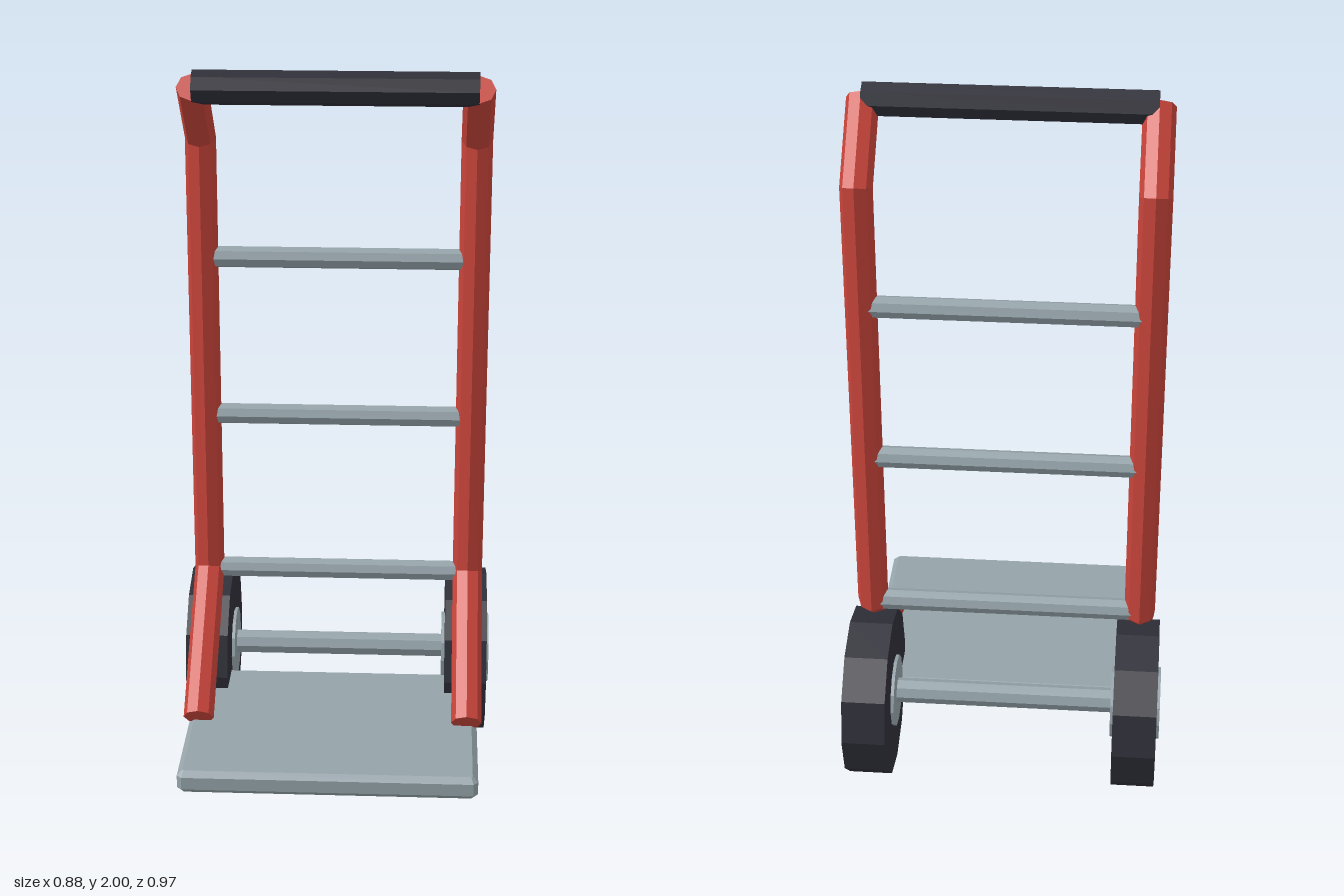
import * as THREE from 'three';

const paint = (name, color) => {
  const m = new THREE.MeshStandardMaterial({ color });
  m.name = name;
  m.flatShading = true;
  return m;
};

// Cylinder lying along x
function bar(name, radius, length, sides, material, x, y, z) {
  const geometry = new THREE.CylinderGeometry(radius, radius, length, sides);
  geometry.rotateZ(Math.PI / 2);
  const mesh = new THREE.Mesh(geometry, material);
  mesh.name = name;
  mesh.position.set(x, y, z);
  return mesh;
}

// Capped tube with mitred bends along a path of [y, z] points
function mitredTube(path, radius, sides) {
  const points = path.map(([y, z]) => new THREE.Vector2(y, z));
  const rings = points.map((p, i) => {
    const before = i > 0 ? p.clone().sub(points[i - 1]).normalize() : null;
    const after = i < points.length - 1 ? points[i + 1].clone().sub(p).normalize() : null;
    const a = before || after, b = after || before;
    const t = a.clone().add(b).normalize();
    const stretch = radius / t.dot(a);
    return Array.from({ length: sides }, (_, k) => {
      const angle = (k / sides) * Math.PI * 2;
      const s = Math.sin(angle) * stretch;
      return [Math.cos(angle) * radius, p.x - t.y * s, p.y + t.x * s];
    });
  });
  const positions = [];
  const tri = (a, b, c) => positions.push(...a, ...b, ...c);
  const last = rings.length - 1;
  for (let k = 0; k < sides; k++) {
    const n = (k + 1) % sides;
    for (let i = 0; i < last; i++) {
      const [p, q] = [rings[i], rings[i + 1]];
      tri(p[k], q[k], q[n]);
      tri(p[k], q[n], p[n]);
    }
    const start = [0, ...path[0]], end = [0, ...path[last]];
    tri(start, rings[0][k], rings[0][n]);
    tri(end, rings[last][n], rings[last][k]);
  }
  const geometry = new THREE.BufferGeometry();
  geometry.setAttribute('position', new THREE.Float32BufferAttribute(positions, 3));
  geometry.computeVertexNormals();
  return geometry;
}

// Flat slab with chamfered edges
function chamferedPlate(width, height, depth, c) {
  const w = width / 2 - c, d = depth / 2 - c, k = 0.004;
  const shape = new THREE.Shape([
    [-w + k, -d], [w - k, -d], [w, -d + k], [w, d - k],
    [w - k, d], [-w + k, d], [-w, d - k], [-w, -d + k],
  ].map(([x, y]) => new THREE.Vector2(x, y)));
  const geometry = new THREE.ExtrudeGeometry(shape, {
    depth: height - 2 * c, bevelEnabled: true, bevelSize: c, bevelThickness: c, bevelSegments: 1,
  });
  geometry.rotateX(-Math.PI / 2);
  geometry.center();
  return geometry;
}

export function createModel() {
  const red = paint('red frame paint', 0xc8443a);
  const steel = paint('grey steel', 0x94a3a9);
  const rubber = paint('dark rubber', 0x2e2e38);
  const model = new THREE.Group();
  model.name = 'handTruck';

  // Load plate
  const plate = new THREE.Mesh(chamferedPlate(0.81, 0.065, 0.63, 0.015), steel);
  plate.name = 'loadPlate';
  plate.position.set(0, 0.167, 0.165);
  model.add(plate);

  // Bent side rails, wheels and hubs
  const rail = mitredTube([[0.215, 0.19], [0.515, -0.177], [1.785, -0.177], [1.955, -0.005]], 0.0425, 8);
  for (const [side, label] of [[1, 'left'], [-1, 'right']]) {
    const mesh = new THREE.Mesh(rail, red);
    mesh.name = label + 'Rail';
    mesh.position.x = side * 0.375;
    model.add(mesh);
    model.add(bar(label + 'Tyre', 0.238, 0.12, 12, rubber, side * 0.373, 0.238, -0.247));
    model.add(bar(label + 'Hub', 0.102, 0.138, 12, steel, side * 0.373, 0.24, -0.247));
  }

  // Cross rungs
  for (const y of [0.515, 0.99, 1.45]) {
    model.add(bar('rung', 0.03, 0.72, 8, steel, 0, y, -0.18));
  }

  // Axle and handle grip
  model.add(bar('axle', 0.035, 0.7, 8, steel, 0, 0.242, -0.247));
  model.add(bar('handleGrip', 0.046, 0.75, 8, rubber, 0, 1.954, -0.01));
  return model;
}
